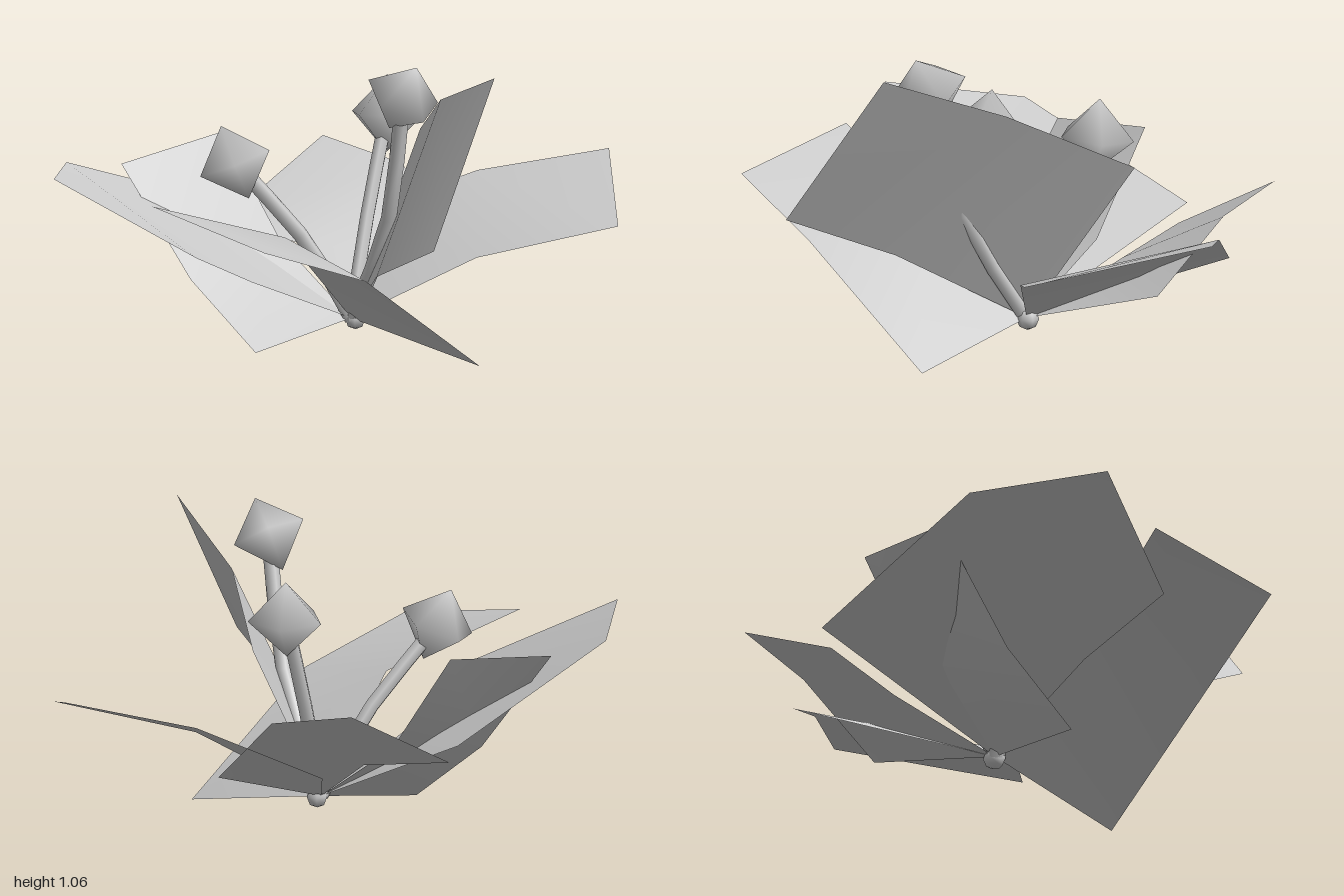
import * as THREE from 'three';

const plantGrey = new THREE.MeshStandardMaterial({ color: 0xcccccc, side: THREE.DoubleSide });
plantGrey.name = 'plant grey';

const ROOT = [0.02, 0.09, 0.01];

// A leaf is a bent sheet: three cross edges (base, middle, tip), each with an inner and outer end
function leaf(name, rows) {
  const geo = new THREE.PlaneGeometry(1, 1, 1, rows.length - 1);
  rows.flat().forEach((p, i) => geo.attributes.position.setXYZ(i, ...p));
  geo.computeVertexNormals();
  const mesh = new THREE.Mesh(geo, plantGrey);
  mesh.name = name;
  return mesh;
}

// A bent stem carrying a five-sided bud that leans along the given axis
function budStalk(name, mid, top, axis, spin) {
  const group = new THREE.Group();
  group.name = name;
  const pts = [ROOT, mid, top].map((p) => new THREE.Vector3(...p));
  const path = new THREE.CatmullRomCurve3(pts);
  const stem = new THREE.Mesh(new THREE.TubeGeometry(path, 4, 0.027, 6), plantGrey);
  stem.name = 'stem';
  const bud = new THREE.Mesh(new THREE.SphereGeometry(0.135, 5, 2).rotateY(spin), plantGrey);
  bud.name = 'bud';
  bud.position.copy(pts[2]);
  bud.quaternion.setFromUnitVectors(new THREE.Vector3(0, 1, 0), new THREE.Vector3(...axis).normalize());
  group.add(stem, bud);
  return group;
}

export function createModel() {
  const plant = new THREE.Group();
  plant.name = 'plant';

  // Leaves, each growing from one corner at the root
  const leaves = {
    frontLeaf: [
      [ROOT, [0.595, 0, 0.08]],
      [[0.025, 0.455, 0.44], [0.475, 0.385, 0.62]],
      [[-0.23, 0.62, 0.9], [0.3, 0.535, 1.0]],
    ],
    frontRightLeaf: [
      [ROOT, [-0.68, 0.385, -0.21]],
      [[-0.085, 0.29, 0.48], [-0.815, 0.64, 0.535]],
      [[-0.09, 0.44, 0.83], [-0.59, 0.685, 0.965]],
    ],
    smallRightLeaf: [
      [ROOT, [-0.1, 0.03, 0.435]],
      [[-0.32, 0.31, -0.065], [-0.4, 0.245, 0.385]],
      [[-0.58, 0.66, -0.1], [-0.715, 0.61, 0.34]],
    ],
    backRightLeaf: [
      [ROOT, [0.08, 0.25, -0.56]],
      [[-0.285, 0.27, -0.195], [-0.2, 0.49, -0.655]],
      [[-0.64, 0.32, -0.2], [-0.53, 0.55, -0.66]],
    ],
    backLeftLeaf: [
      [ROOT, [-0.36, 0.3, -0.58]],
      [[0.4, 0.31, -0.2], [0.03, 0.47, -0.78]],
      [[0.81, 0.42, -0.47], [0.43, 0.555, -1.0]],
    ],
    uprightLeftLeaf: [
      [ROOT, [0.02, 0.68, -0.43]],
      [[0.34, 0.335, 0.345], [0.32, 0.88, -0.095]],
      [[0.715, 0.51, 0.56], [0.71, 1.05, 0.165]],
    ],
  };
  for (const [name, rows] of Object.entries(leaves)) plant.add(leaf(name, rows));

  // Bud stalks
  plant.add(
    budStalk('leftStalk', [0.24, 0.47, 0.12], [0.355, 0.945, 0.2], [0.48, 0.86, 0.1], 0.3),
    budStalk('backStalk', [0.0, 0.42, -0.12], [-0.005, 0.765, -0.255], [-0.05, 0.98, -0.1], 0.1),
    budStalk('rightStalk', [-0.08, 0.36, 0.13], [-0.25, 0.67, 0.335], [-0.35, 0.9, 0.1], 0.9),
  );

  // Small crown where everything meets
  const crown = new THREE.Mesh(new THREE.SphereGeometry(0.04, 6, 4), plantGrey);
  crown.name = 'crown';
  crown.position.set(0.03, 0.09, 0);
  plant.add(crown);

  return plant;
}
